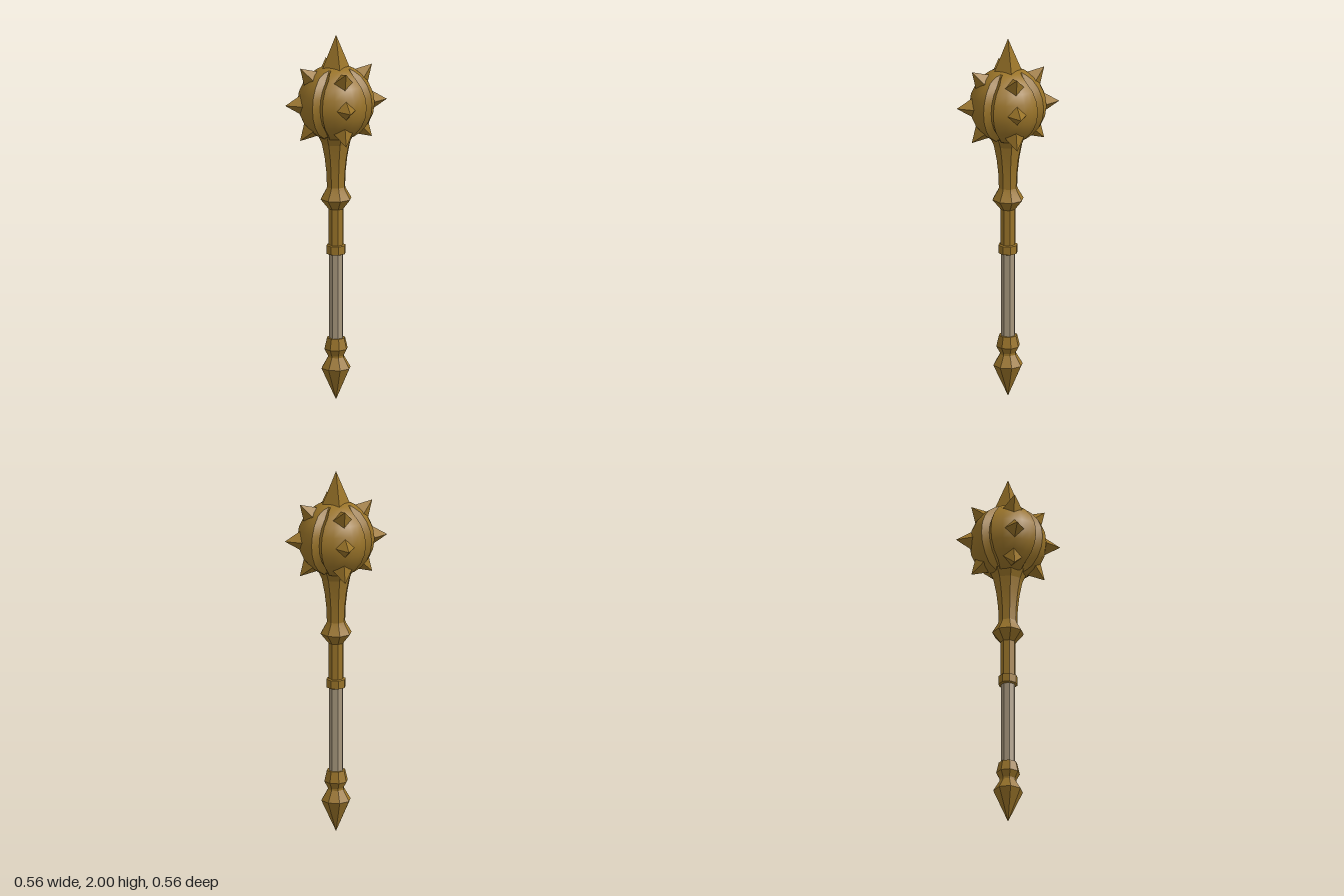
import * as THREE from 'three';
import { toCreasedNormals } from 'three/addons/utils/BufferGeometryUtils.js';

const HEAD_Y = 1.63, HEAD_R = 0.205;
const rad = THREE.MathUtils.degToRad;

// Eight-sided turned section from [radius, y] points, bottom to top
function turned(name, points, material) {
  const lathe = new THREE.LatheGeometry(points.map(([r, y]) => new THREE.Vector2(r, y)), 8);
  const mesh = new THREE.Mesh(toCreasedNormals(lathe, 0.2), material);
  mesh.name = name;
  return mesh;
}

// Faceted ball with four vertical V grooves at the diagonals
function groovedBall() {
  const lats = [-82, -68, -60, -48, -32, -16, 0, 16, 32, 48, 60, 68, 82];
  const pos = [], index = [], cols = 28;
  for (const latDeg of lats) {
    const lat = rad(latDeg), c = Math.cos(lat);
    const fade = THREE.MathUtils.clamp((67 - Math.abs(latDeg)) / 12, 0, 1);
    const half = Math.min(0.6, Math.asin(Math.min(0.9, 0.03 * Math.max(0.4, fade) / (HEAD_R * c))));
    const edge = Math.PI / 4 - half;
    for (let q = 0; q < 4; q++) {
      const angles = [0, edge / 3, edge * 2 / 3, edge, Math.PI / 4, Math.PI / 4 + half, Math.PI / 2 - edge / 2];
      angles.forEach((a, k) => {
        const r = HEAD_R - (k === 4 ? 0.03 * fade : 0);
        const phi = a + q * Math.PI / 2;
        pos.push(r * c * Math.sin(phi), r * Math.sin(lat), r * c * Math.cos(phi));
      });
    }
  }
  for (let i = 0; i < lats.length - 1; i++) {
    for (let j = 0; j < cols; j++) {
      const a = i * cols + j, b = i * cols + (j + 1) % cols;
      index.push(a, b, b + cols, a, b + cols, a + cols);
    }
  }
  const g = new THREE.BufferGeometry();
  g.setAttribute('position', new THREE.Float32BufferAttribute(pos, 3));
  g.setIndex(index);
  return toCreasedNormals(g, 0.5);
}

// Four-sided spike whose base sits at the given distance along +y
function spikeGeometry(radius, base, tip) {
  const g = new THREE.ConeGeometry(radius, tip - base, 4);
  g.translate(0, (base + tip) / 2, 0);
  return toCreasedNormals(g, 0.2);
}

export function createModel() {
  const gold = new THREE.MeshStandardMaterial({ color: 0x9a7429 });
  gold.name = 'gold';
  const leather = new THREE.MeshStandardMaterial({ color: 0xa8987e });
  leather.name = 'pale grip';

  const model = new THREE.Group();
  model.name = 'mace';

  // Shaft, from the pointed pommel up to the flared neck
  model.add(
    turned('pommel', [[0, 0.005], [0.08, 0.18], [0.045, 0.24], [0.045, 0.25],
      [0.064, 0.285], [0.05, 0.345], [0, 0.345]], gold),
    turned('grip', [[0.039, 0.34], [0.039, 0.81]], leather),
    turned('collar', [[0.038, 0.8], [0.052, 0.805], [0.052, 0.85], [0.038, 0.855]], gold),
    turned('upperShaft', [[0.041, 0.84], [0.041, 1.05], [0.085, 1.105], [0.056, 1.155],
      [0.05, 1.17], [0.053, 1.25], [0.062, 1.33], [0.078, 1.41], [0.1, 1.46]], gold),
  );

  // Spiked head
  const head = new THREE.Group();
  head.name = 'head';
  head.position.y = HEAD_Y;
  const ball = new THREE.Mesh(groovedBall(), gold);
  ball.name = 'groovedBall';
  head.add(ball);

  const topSpike = new THREE.Mesh(spikeGeometry(0.085, 0.165, 0.37), gold);
  topSpike.name = 'topSpike';
  head.add(topSpike);

  // Three spikes on each of the four sides
  const sideSpike = spikeGeometry(0.068, 0.17, 0.28);
  for (let side = 0; side < 4; side++) {
    const row = new THREE.Group();
    row.name = 'spikeRow';
    row.rotation.y = side * Math.PI / 2;
    for (const elevation of [-45, 0, 45]) {
      const spike = new THREE.Mesh(sideSpike, gold);
      spike.name = 'sideSpike';
      spike.rotation.z = rad(elevation - 90);
      row.add(spike);
    }
    head.add(row);
  }
  model.add(head);
  return model;
}
